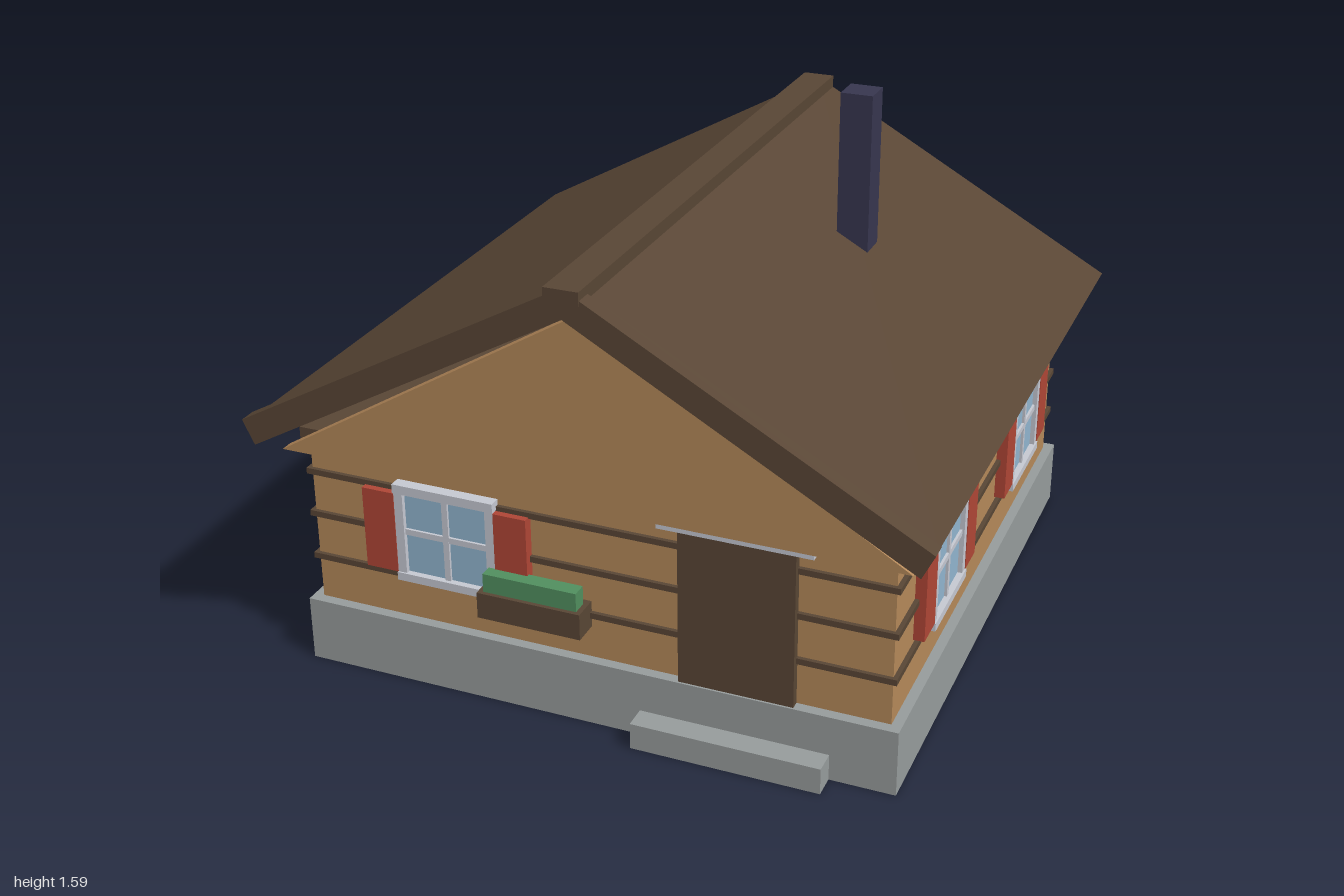
import * as THREE from 'three';

const mat = (name, color) => {
  const m = new THREE.MeshStandardMaterial({ color });
  m.name = name;
  return m;
};

export function createModel() {
  const house = new THREE.Group();
  house.name = 'cabin';

  const wood = mat('tan wood', 0xb5895a);
  const brown = mat('dark brown wood', 0x594635);
  const stone = mat('grey stone', 0x979c9c);
  const white = mat('white trim', 0xc6c9d2);
  const glass = mat('pale blue glass', 0x92b6d0);
  const red = mat('red shutter paint', 0xb04636);
  const green = mat('green plants', 0x518f5f);
  const navy = mat('navy metal', 0x37364f);

  // Box given by its extents on each axis
  const box = (name, m, [x0, x1], [y0, y1], [z0, z1], parent = house) => {
    const mesh = new THREE.Mesh(new THREE.BoxGeometry(x1 - x0, y1 - y0, z1 - z0), m);
    mesh.position.set((x0 + x1) / 2, (y0 + y1) / 2, (z0 + z1) / 2);
    mesh.name = name;
    parent.add(mesh);
    return mesh;
  };

  // Profile in the xy plane, extruded from z0 to z1
  const slab = (name, m, points, z0, z1) => {
    const shape = new THREE.Shape(points.map(([x, y]) => new THREE.Vector2(x, y)));
    const geo = new THREE.ExtrudeGeometry(shape, { depth: z1 - z0, bevelEnabled: false });
    const mesh = new THREE.Mesh(geo, m);
    mesh.position.z = z0;
    mesh.name = name;
    house.add(mesh);
  };

  // Base, walls and ceiling beam
  box('foundation', stone, [-0.9, 0.9], [0, 0.2], [-0.89, 0.89]);
  box('doorStep', stone, [0.155, 0.71], [0, 0.08], [0.89, 0.96]);
  box('walls', wood, [-0.87, 0.87], [0.2, 0.7], [-0.858, 0.858]);
  box('eaveBeam', brown, [-0.888, 0.888], [0.7, 0.76], [-0.878, 0.878]);

  // Dark joints between the logs
  for (const y of [0.34, 0.48, 0.617]) {
    box('logJoint', brown, [-0.883, 0.883], [y - 0.009, y + 0.009], [-0.87, 0.87]);
  }

  // Gables
  const gable = [[-0.925, 0.7], [0.925, 0.7], [0, 1.26]];
  slab('frontGable', wood, gable, 0.878, 0.915);
  slab('backGable', wood, gable, -0.915, -0.878);

  // Roof slopes, front barge boards and ridge
  for (const s of [-1, 1]) {
    slab('roofSlope', brown, [[0, 1.285], [s * 0.96, 0.745], [s * 0.993, 0.8], [0, 1.353]], -0.99, 0.935);
    slab('bargeBoard', brown, [[0, 1.28], [s * 0.965, 0.74], [s, 0.812], [s * 0.04, 1.345], [0, 1.345]], 0.935, 0.987);
  }
  box('ridgeCap', brown, [-0.05, 0.05], [1.325, 1.364], [-0.99, 0.99]);

  // Chimney
  box('chimney', navy, [0.35, 0.447], [0.97, 1.585], [-0.247, -0.152]);

  // Shuttered window facing +z, centred on its own x = 0
  const addWindow = (x, z, turn) => {
    const w = new THREE.Group();
    w.name = 'window';
    box('pane', glass, [-0.14, 0.14], [0.345, 0.63], [0.008, 0.016], w);
    for (const s of [-1, 1]) {
      box('frameSide', white, [s * 0.1425 - 0.0135, s * 0.1425 + 0.0135], [0.36, 0.615], [0, 0.03], w);
      box('shutter', red, [s * 0.206 - 0.05, s * 0.206 + 0.05], [0.36, 0.612], [0, 0.032], w);
    }
    box('frameTop', white, [-0.157, 0.157], [0.615, 0.643], [0, 0.035], w);
    box('frameSill', white, [-0.157, 0.157], [0.335, 0.36], [0, 0.035], w);
    box('mullion', white, [-0.009, 0.009], [0.36, 0.615], [0.01, 0.024], w);
    box('crossbar', white, [-0.13, 0.13], [0.482, 0.5], [0.01, 0.0235], w);
    w.position.set(x, 0, z);
    w.rotation.y = turn;
    house.add(w);
  };
  addWindow(-0.435, 0.858, 0);
  for (const s of [-1, 1]) {
    addWindow(s * 0.435, -0.858, Math.PI);
    addWindow(0.87, s * 0.428, Math.PI / 2);
    addWindow(-0.87, s * 0.428, -Math.PI / 2);
  }

  // Door with lintel
  box('door', brown, [0.268, 0.603], [0.2, 0.678], [0.85, 0.884]);
  box('doorLintel', white, [0.214, 0.657], [0.678, 0.697], [0.85, 0.9]);

  // Flower box
  box('flowerBox', brown, [-0.315, 0], [0.3, 0.38], [0.858, 0.938]);
  box('plants', green, [-0.3, -0.015], [0.38, 0.437], [0.88, 0.926]);

  return house;
}
